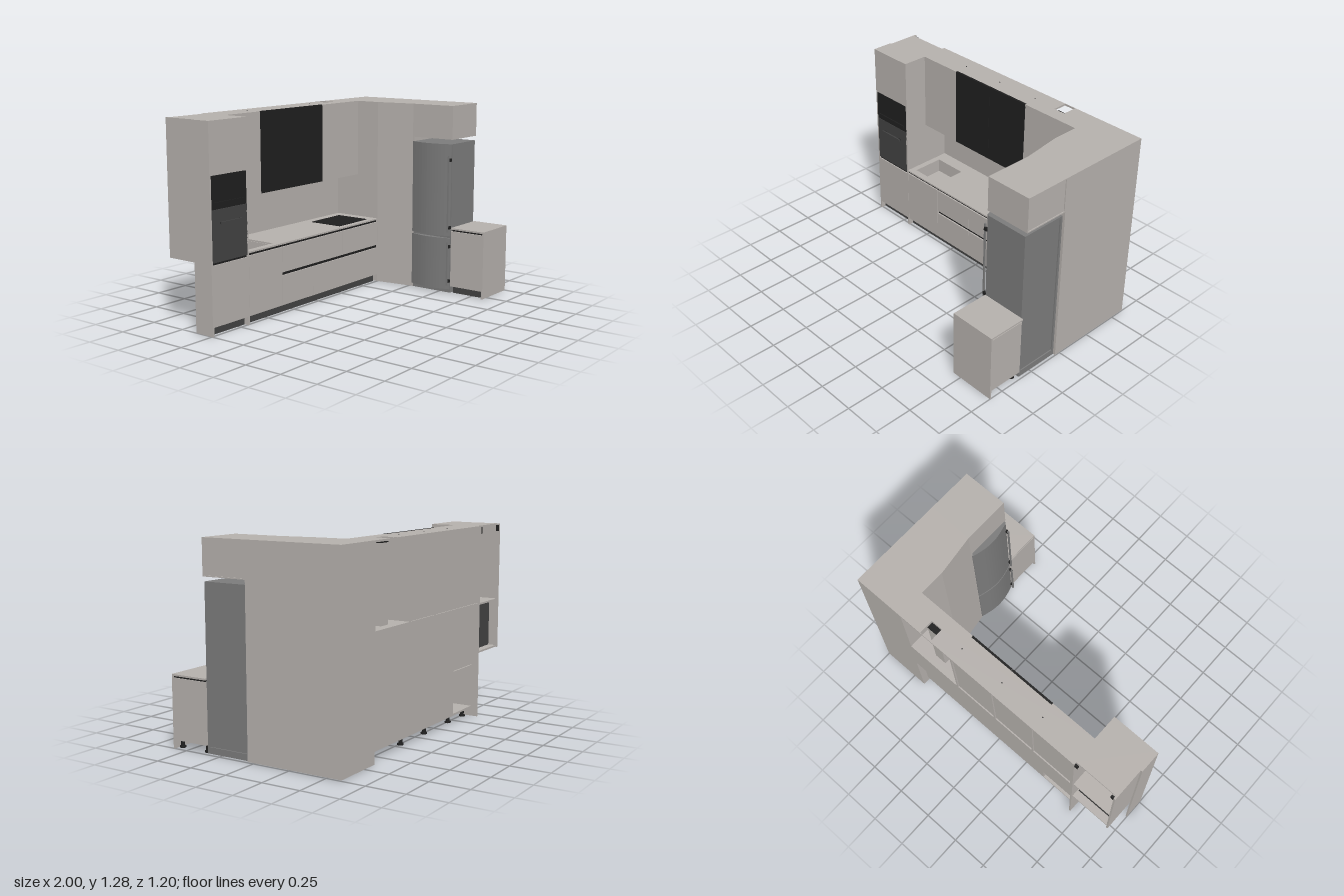
import * as THREE from 'three';

export function createModel() {
  const root = new THREE.Group();
  root.name = 'kitchen';
  const mat = (name, color) => Object.assign(new THREE.MeshStandardMaterial({ color }), { name });
  const light = mat('warm grey', 0xb5b0ac);
  const steel = mat('steel grey', 0x7b7b7b);
  const dark = mat('dark grey', 0x424242);
  const black = mat('black', 0x1f1f1f);

  const add = (name, geo, m) => {
    const mesh = new THREE.Mesh(geo, m);
    mesh.name = name;
    root.add(mesh);
    return mesh;
  };
  // Box given by its limits on each axis
  const box = (name, m, x0, x1, y0, y1, z0, z1) => {
    const mesh = add(name, new THREE.BoxGeometry(x1 - x0, y1 - y0, z1 - z0), m);
    mesh.position.set((x0 + x1) / 2, (y0 + y1) / 2, (z0 + z1) / 2);
    return mesh;
  };
  // Upright prism from a plan outline of [x, z] points
  const prism = (name, m, pts, y0, y1, holes = []) => {
    const flip = (p) => p.map(([x, z]) => new THREE.Vector2(x, -z));
    const shape = new THREE.Shape(flip(pts));
    holes.forEach((h) => shape.holes.push(new THREE.Path(flip(h))));
    const geo = new THREE.ExtrudeGeometry(shape, { depth: y1 - y0, bevelEnabled: false });
    geo.rotateX(-Math.PI / 2).translate(0, y0, 0);
    return add(name, geo, m);
  };
  const rect = (x0, x1, z0, z1) => [[x0, z0], [x0, z1], [x1, z1], [x1, z0]];
  const foot = (x, z) => {
    [[0.012, 0.012, 0.055, 0.0275], [0.02, 0.02, 0.01, 0.005], [0.018, 0.018, 0.01, 0.05]].forEach(([a, b, h, y]) => {
      add('foot', new THREE.CylinderGeometry(a, b, h, 12), black).position.set(x, y, z);
    });
  };

  // Corner wall block with slanted inner face
  prism('wallBlock', light, [[0.656, -0.6], [0.656, -0.24], [0.693, 0.03], [0.693, 0.04], [1, 0.04], [1, -0.6]], 0.005, 1.28);

  // Backsplash
  box('backsplash', light, -0.68, 0.656, 0.445, 0.76, -0.6, -0.59);

  // Wall cabinets: lid with duct cut-out, floor, dividers, backs, doors
  prism('wallCabinetTop', light, rect(-0.68, 0.656, -0.6, -0.41), 1.268, 1.28, [rect(0.41, 0.49, -0.597, -0.5)]);
  box('wallCabinetFloor', light, -0.68, 0.656, 0.76, 0.773, -0.6, -0.41);
  const bays = [-0.68, -0.37, -0.06, 0.25, 0.656];
  bays.forEach((x, i) => {
    const a = i === 0 ? x : x - 0.007;
    box('wallCabinetSide', light, a, i === 4 ? x : x + 0.007, 0.773, 1.268, -0.6, -0.42);
    if (i < 3) {
      box('wallCabinetBack', light, x + 0.007, bays[i + 1] - 0.007, 0.773, 1.268, -0.592, -0.585);
      add('ceilingSpot', new THREE.CylinderGeometry(0.004, 0.004, 0.004, 10), dark).position.set(bays[i + 1] - 0.01, 1.28, -0.51);
    }
    if (i < 4) {
      const middle = i === 1 || i === 2;
      box('wallCabinetDoor', middle ? black : light, x + 0.001, bays[i + 1] - 0.001, 0.76, middle ? 1.281 : 1.268, -0.422, middle ? -0.408 : -0.41);
    }
  });
  box('extractorDuct', light, 0.41, 0.49, 0.773, 1.25, -0.54, -0.5);
  box('extractorDuctCap', black, 0.41, 0.49, 1.25, 1.256, -0.54, -0.5);

  // Worktop with sink opening
  const [sx0, sx1, sz0, sz1] = [-0.64, -0.41, -0.5, -0.285];
  prism('worktop', light, rect(-0.68, 0.656, -0.59, -0.24), 0.45, 0.46, [rect(sx0, sx1, sz0, sz1)]);
  box('sinkFloor', light, sx0, sx1, 0.36, 0.366, sz0, sz1);
  box('sinkSide', light, sx0 - 0.004, sx0, 0.36, 0.459, sz0, sz1);
  box('sinkSide', light, sx1, sx1 + 0.004, 0.36, 0.459, sz0, sz1);
  box('sinkBack', light, sx0, sx1, 0.36, 0.459, sz0 - 0.004, sz0);
  box('sinkFront', light, sx0, sx1, 0.36, 0.459, sz1, sz1 + 0.004);
  add('sinkDrain', new THREE.CylinderGeometry(0.028, 0.028, 0.004, 24), light).position.set(-0.525, 0.367, -0.388);
  box('hob', black, 0.27, 0.575, 0.46, 0.464, -0.52, -0.277);

  // Base cabinets: back, floor, sides, recessed grip channels
  box('baseBack', light, -0.41, 0.656, 0.055, 0.45, -0.555, -0.545);
  box('baseFloor', light, -0.68, 0.656, 0.055, 0.068, -0.555, -0.255);
  box('sinkUnitRail', light, -0.68, -0.41, 0.26, 0.35, -0.555, -0.545);
  box('sinkUnitSide', light, -0.415, -0.4, 0.068, 0.45, -0.555, -0.255);
  box('gripChannel', black, -0.68, 0.656, 0.425, 0.45, -0.262, -0.25);
  box('gripChannel', black, -0.37, 0.656, 0.245, 0.275, -0.262, -0.25);
  const units = [-0.37, -0.06, 0.25, 0.656];
  box('sinkUnitDoor', light, -0.678, -0.372, 0.055, 0.435, -0.255, -0.24);
  for (let i = 0; i < 3; i++) {
    [[0.055, 0.25], [0.27, 0.435]].forEach(([y0, y1]) =>
      box('drawerFront', light, units[i] + 0.001, units[i + 1] - 0.001, y0, y1, -0.255, -0.24));
  }
  box('plinth', dark, -0.995, 0.656, 0, 0.055, -0.29, -0.275);
  [-0.64, -0.43, -0.1, 0.2, 0.59].forEach((x) => [-0.51, -0.32].forEach((z) => foot(x, z)));

  // Tall oven cabinet, open at the back
  box('tallCoverStrip', light, -1, -0.989, 0, 1.28, -0.38, -0.24);
  box('tallOuterSide', light, -0.989, -0.977, 0.43, 1.28, -0.6, -0.255);
  box('tallInnerSide', light, -0.692, -0.68, 0, 1.28, -0.6, -0.24);
  box('tallTop', light, -0.977, -0.692, 1.268, 1.28, -0.58, -0.25);
  [0.43, 0.95, 0.755].forEach((y) => box('tallShelf', light, -0.977, -0.692, y, y + 0.012, y > 0.9 ? -0.4 : -0.59, -0.258));
  box('tallUpperDoor', light, -0.989, -0.685, 0.962, 1.28, -0.256, -0.24);
  box('tallLowerDoor', light, -0.989, -0.685, 0.055, 0.43, -0.256, -0.24);
  box('tallGripChannel', black, -0.989, -0.685, 0.428, 0.444, -0.262, -0.248);
  [-0.97, -0.7].forEach((x) => box('cabinetHanger', black, x - 0.014, x + 0.014, 1.23, 1.27, -0.598, -0.585));

  // Microwave
  box('microwaveBody', black, -0.97, -0.7, 0.767, 0.95, -0.45, -0.256);
  box('microwaveFront', black, -0.989, -0.688, 0.76, 0.96, -0.256, -0.24);
  box('microwaveHandle', black, -0.965, -0.71, 0.783, 0.803, -0.24, -0.232);

  // Oven
  box('ovenBody', dark, -0.97, -0.7, 0.443, 0.745, -0.54, -0.256);
  box('ovenFront', dark, -0.989, -0.688, 0.444, 0.758, -0.256, -0.24);
  box('ovenHandle', dark, -0.925, -0.75, 0.668, 0.684, -0.232, -0.222);
  [-0.91, -0.765].forEach((x) => box('ovenHandlePost', black, x - 0.012, x + 0.012, 0.67, 0.682, -0.241, -0.23));

  // Fridge: body with recessed side panel
  box('fridgeBody', steel, 0.695, 0.977, 0.005, 1.025, 0.042, 0.345);
  [[0.005, 0.045, 0.042, 0.345], [1.01, 1.025, 0.042, 0.345], [0.045, 1.01, 0.042, 0.057], [0.045, 1.01, 0.33, 0.345]]
    .forEach(([y0, y1, z0, z1]) => box('fridgeSideFrame', steel, 0.977, 0.985, y0, y1, z0, z1));
  // Bowed fridge doors
  const bow = [];
  for (let i = 0; i <= 14; i++) {
    const t = i / 14;
    bow.push([0.688 - 0.028 * Math.sin(Math.PI * t), 0.035 + 0.305 * t]);
  }
  const doorPlan = [...bow, [0.697, 0.34], [0.697, 0.035]];
  prism('fridgeUpperDoor', steel, doorPlan, 0.4, 1.025);
  prism('fridgeLowerDoor', steel, doorPlan, 0.03, 0.385);
  [[0.43, 0.95], [0.06, 0.36]].forEach(([y0, y1]) => {
    box('fridgeHandle', steel, 0.661, 0.67, y0, y1, 0.33, 0.34);
    [y0 + 0.02, y1 - 0.04].forEach((y) => box('fridgeHandlePost', black, 0.667, 0.69, y, y + 0.02, 0.332, 0.347));
  });

  // Cabinet above the fridge, side slightly recessed
  box('overFridgeCabinet', light, 0.693, 0.994, 1.055, 1.28, 0.04, 0.345);
  [[1.055, 1.062, 0.04, 0.345], [1.274, 1.28, 0.04, 0.345], [1.062, 1.274, 0.04, 0.047], [1.062, 1.274, 0.338, 0.345]]
    .forEach(([y0, y1, z0, z1]) => box('overFridgeEdge', light, 0.994, 1, y0, y1, z0, z1));

  // Low end cabinet
  box('endCabinet', light, 0.705, 0.995, 0.052, 0.435, 0.35, 0.59);
  box('endCabinetDoor', light, 0.69, 0.703, 0.052, 0.435, 0.348, 0.59);
  box('endGripChannel', black, 0.7, 0.99, 0.435, 0.448, 0.352, 0.59);
  box('endWorktop', light, 0.69, 1, 0.446, 0.457, 0.345, 0.6);
  box('endPanel', light, 0.69, 1, 0, 0.446, 0.59, 0.6);
  box('endPlinth', dark, 0.725, 0.738, 0, 0.052, 0.35, 0.59);
  [0.78, 0.95].forEach((x) => [0.375, 0.57].forEach((z) => foot(x, z)));

  return root;
}
